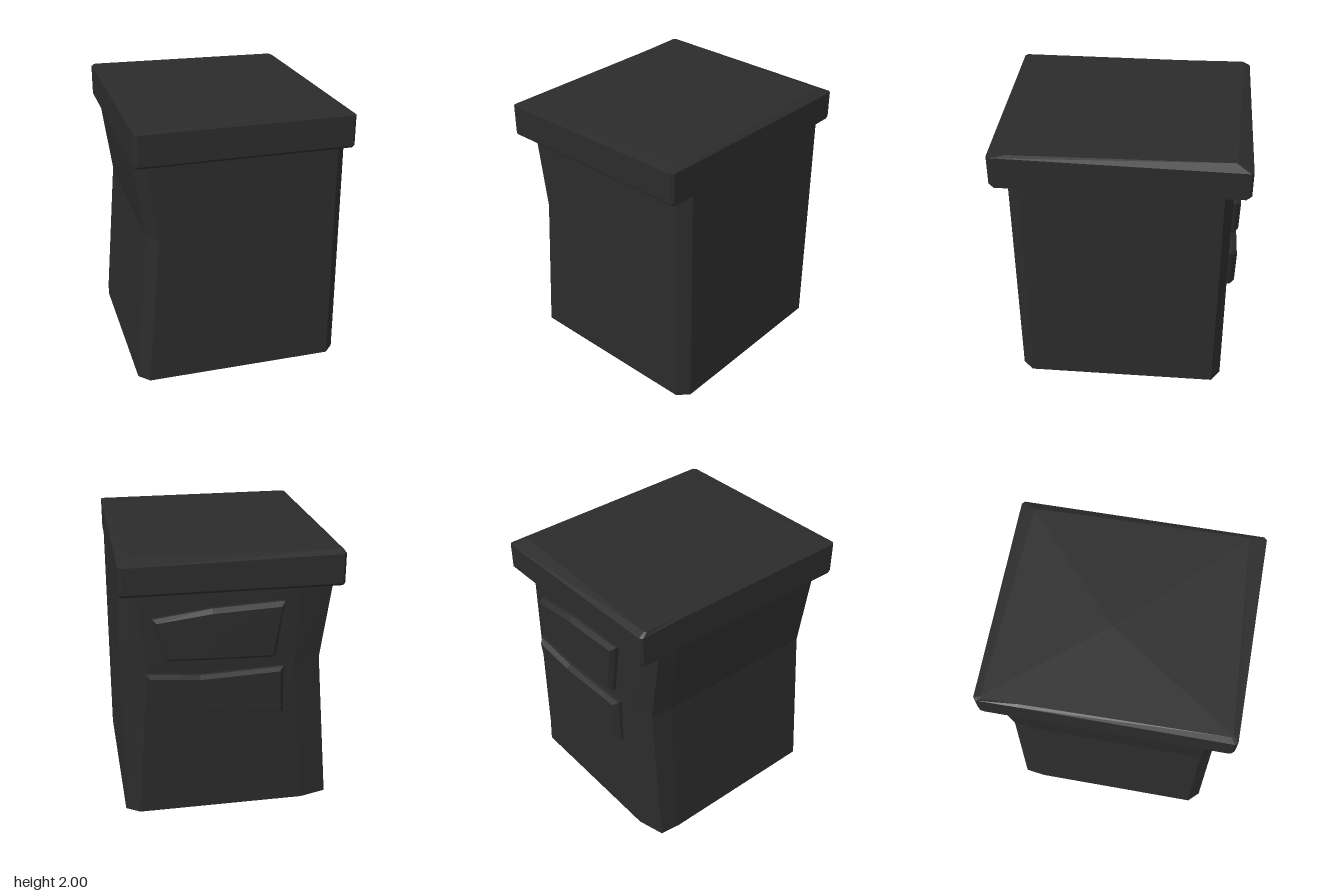
import * as THREE from 'three';

// Skins a stack of matching rings (counter-clockwise seen from the last ring's end); capEnd closes the last one.
function loft(rings, capEnd) {
  const pos = [];
  const tri = (...pts) => pts.forEach((p) => pos.push(...p));
  const n = rings[0].length;
  const end = rings[rings.length - 1];
  const centre = [0, 1, 2].map((k) => end.reduce((s, p) => s + p[k], 0) / n);
  for (let i = 0; i < n; i++) {
    const j = (i + 1) % n;
    for (let r = 0; r < rings.length - 1; r++) {
      const a = rings[r], b = rings[r + 1];
      tri(a[i], a[j], b[j]);
      tri(a[i], b[j], b[i]);
    }
    if (capEnd) tri(centre, end[i], end[j]);
  }
  const geo = new THREE.BufferGeometry();
  geo.setAttribute('position', new THREE.Float32BufferAttribute(pos, 3));
  geo.computeVertexNormals();
  return geo;
}

// Body cross-section: bevelled corners, bent side at -x, wide rounded back corner.
const bodyRing = (y, left, rightBack, leftBack) => [
  [0.705, y, 0.78], [0.78, y, 0.70],
  [0.78, y, -0.72], [rightBack, y, -0.785],
  [leftBack, y, -0.785], [left + 0.02, y, -0.73], [left, y, -0.58],
  [left, y, 0.70], [left + 0.075, y, 0.78],
];

// Rectangle with chamfered corners for the lid, matching the body ring point for point.
const lidRing = (y, x, z, c) => [
  [x - c, y, z], [x, y, z - c], [x, y, -z + c], [x - c, y, -z],
  [-x + c, y, -z], [-x, y, -z + c], [-x, y, -0.58], [-x, y, z - c], [-x + c, y, z],
];

// Raised panel on the back with a bevelled rim.
function panel(outline) {
  const cx = outline.reduce((s, p) => s + p[0], 0) / outline.length;
  const cy = outline.reduce((s, p) => s + p[1], 0) / outline.length;
  const ring = (z, sx, sy) => outline.map(([x, y]) => [cx + (x - cx) * sx, cy + (y - cy) * sy, z]);
  return loft([ring(-0.78, 1, 1), ring(-0.81, 1, 1), ring(-0.845, 0.94, 0.86)], true);
}

export function createModel() {
  const group = new THREE.Group();
  const charcoal = new THREE.MeshStandardMaterial({ color: 0x2b2b2b, flatShading: true, side: THREE.DoubleSide });
  charcoal.name = 'charcoal';
  const add = (name, geo) => {
    const mesh = new THREE.Mesh(geo, charcoal);
    mesh.name = name;
    group.add(mesh);
  };

  // Hollow shell, open underneath
  const bodyTop = bodyRing(1.76, -0.77, 0.66, -0.50);
  add('body', loft([
    bodyRing(0, -0.78, 0.68, -0.56),
    bodyRing(1.15, -0.685, 0.60, -0.46),
    bodyTop,
  ], false));

  // Overhanging lid with a slightly skewed worn top; its rim dips towards the back.
  const rim = lidRing(1.985, 0.78, 0.9, 0.02);
  rim[2][1] = rim[3][1] = 1.955;
  rim[4][1] = rim[5][1] = 1.975;
  const crown = [
    [0.74, 1.997, 0.775], [0.75, 1.997, 0.76], [0.715, 1.995, -0.78], [0.70, 1.995, -0.79],
    [-0.75, 2, -0.85], [-0.765, 2, -0.84], [-0.76, 1.998, -0.58], [-0.735, 1.992, 0.85], [-0.72, 1.992, 0.86],
  ];
  add('lid', loft([
    bodyTop,
    lidRing(1.745, 0.78, 0.88, 0.02),
    lidRing(1.765, 0.78, 0.9, 0.02),
    rim,
    crown,
  ], true));

  add('upperBackPanel', panel([
    [0.475, 1.235], [0.18, 1.222], [-0.32, 1.21], [-0.38, 1.63], [0.14, 1.605], [0.555, 1.55],
  ]));
  add('lowerBackPanel', panel([
    [0.525, 0.785], [0.19, 0.82], [-0.39, 0.77], [-0.38, 1.13], [0.23, 1.105], [0.61, 1.14],
  ]));

  return group;
}
